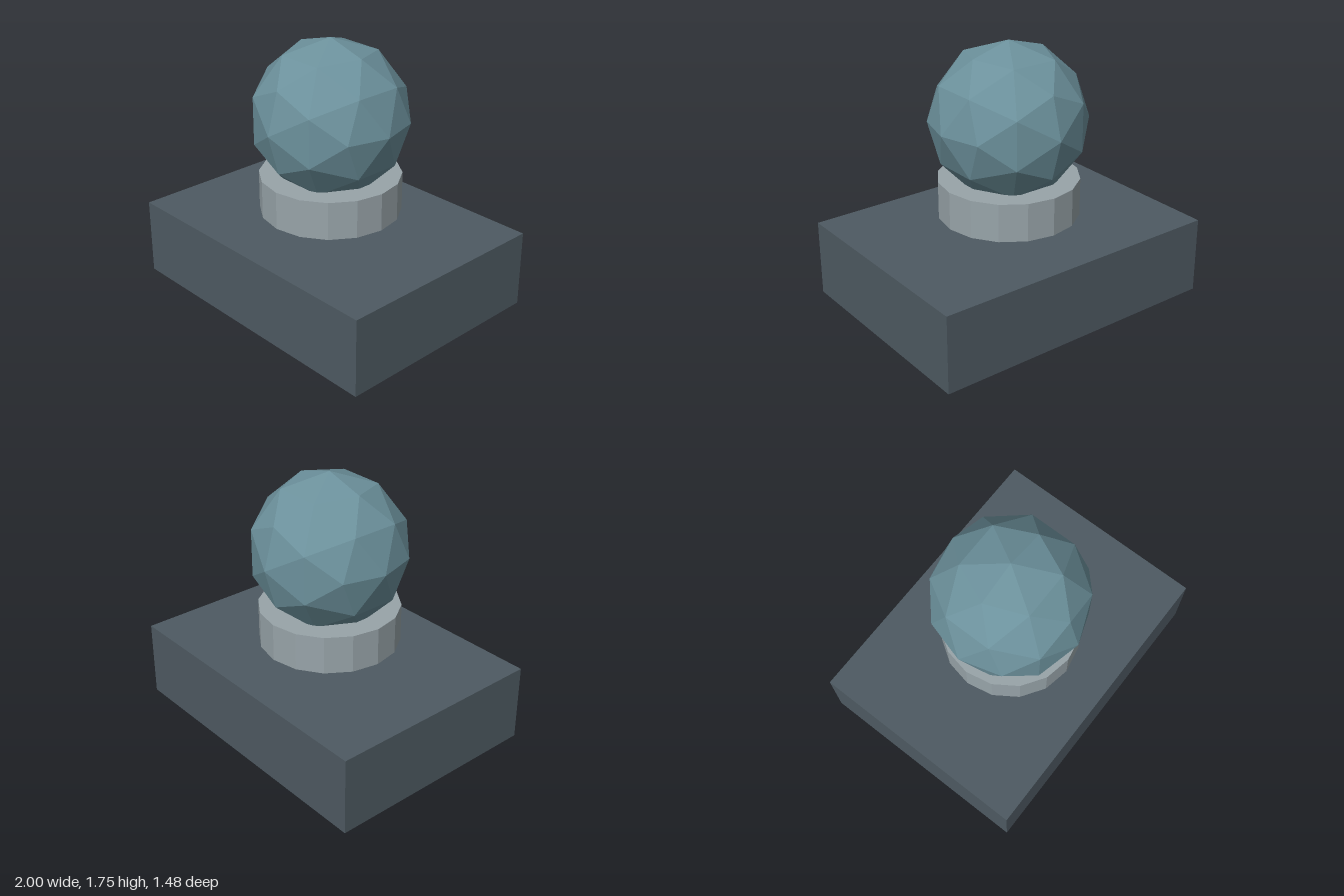
import * as THREE from 'three';

function material(name, color) {
  const m = new THREE.MeshStandardMaterial({ color, flatShading: true });
  m.name = name;
  return m;
}

export function createModel() {
  const group = new THREE.Group();
  group.name = 'ballOnPedestal';

  const add = (name, geometry, mat, y) => {
    const mesh = new THREE.Mesh(geometry, mat);
    mesh.name = name;
    mesh.position.y = y;
    group.add(mesh);
  };

  // Rectangular base slab
  add('baseSlab', new THREE.BoxGeometry(2, 0.513, 1.484), material('slate', 0x4e5a62), 0.2565);

  // Sixteen-sided collar floating just above the slab
  add('collar', new THREE.CylinderGeometry(0.462, 0.462, 0.252, 16), material('paleGrey', 0x98a4a9), 0.721);

  // Faceted ball resting in the collar
  add('ball', new THREE.IcosahedronGeometry(0.513, 1), material('dustyTeal', 0x6c919c), 1.232);

  return group;
}
